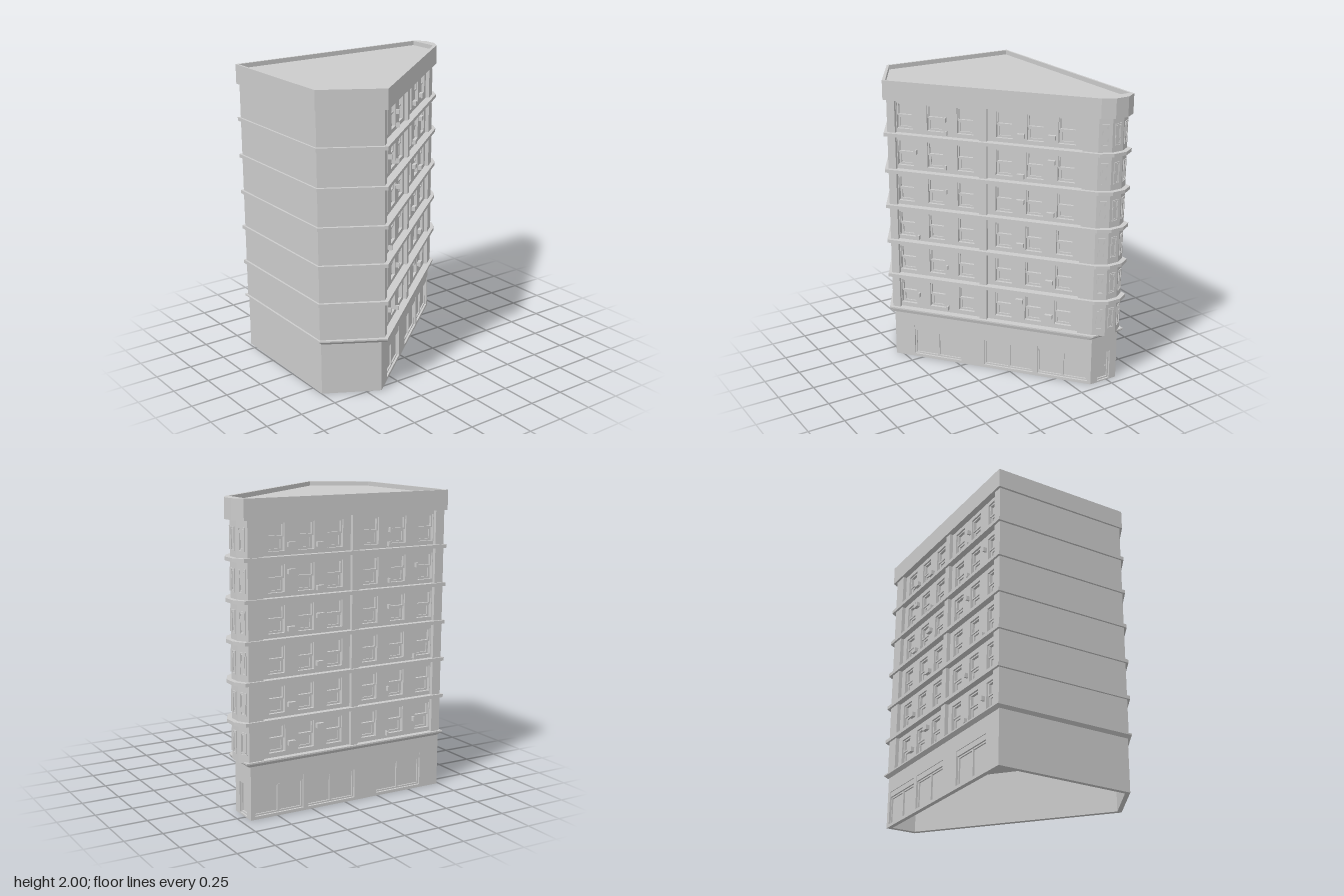
import * as THREE from 'three';

const material = new THREE.MeshStandardMaterial({ color: 0xcccccc, flatShading: true });

// Plan outlines as [x, z], going FL, FR, R, then round the nose back to FL
const LEDGE = [[-0.595, 0.755], [0.365, 0.77], [0.59, 0.395], [-0.345, -0.73], [-0.425, -0.775], [-0.52, -0.775], [-0.595, -0.73]];
const ROOF_EDGE = [[-0.58, 0.74], [0.355, 0.755], [0.565, 0.395], [-0.355, -0.705], [-0.58, -0.705]];
const BODY = [[-0.58, 0.74], [0.352, 0.757], [0.56, 0.4], [-0.354, -0.7], [-0.43, -0.742], [-0.515, -0.742], [-0.58, -0.7]];
const BASE = [[-0.575, 0.735], [0.35, 0.748], [0.54, 0.41], [-0.365, -0.69], [-0.575, -0.69]];
const MOULDING = [[-0.595, 0.755], [0.365, 0.77], [0.588, 0.397], [-0.345, -0.725], [-0.595, -0.725]];

const FLOORS = 6, STOREY = 0.2525;
const RECESS = 0.025, PANEL = 0.03;
// Distances along a long wall, measured from the nose
const BAYS = [[0.1, 0.737], [0.788, 1.375]];
const WINDOWS = [0.208, 0.416, 0.624, 0.89, 1.1, 1.313];
const SHOPS = [0.2, 0.585, 1.105];
// Wall units: [distance from nose, height, width]
const UNITS = [
  [0.51, 1.7, 0.05], [0.305, 1.71, 0.05], [0.51, 1.43, 0.05], [0.305, 1.545, 0.05], [0.51, 1.255, 0.05],
  [0.305, 1.19, 0.05], [0.51, 0.95, 0.05], [0.305, 0.71, 0.05], [0.51, 0.545, 0.05], [0.305, 0.46, 0.05],
  [1.025, 1.76, 0.012], [1.018, 1.67, 0.012], [1.235, 1.52, 0.012], [1.025, 1.435, 0.012], [1.025, 1.265, 0.012],
  [1.228, 0.915, 0.012], [1.025, 0.72, 0.012], [1.235, 0.485, 0.012], [1.025, 0.415, 0.012],
];

function add(parent, name, geometry, x = 0, y = 0, z = 0) {
  const mesh = new THREE.Mesh(geometry, material);
  mesh.name = name;
  mesh.position.set(x, y, z);
  parent.add(mesh);
  return mesh;
}

const box = (w, h, d) => new THREE.BoxGeometry(w, h, d);
const lengthOf = (a, b) => Math.hypot(b[0] - a[0], b[1] - a[1]);

// Vertical prism over a plan outline, optionally with a hole
function prism(points, y0, y1, hole) {
  const toPlan = (p) => p.map(([x, z]) => new THREE.Vector2(x, -z));
  const shape = new THREE.Shape(toPlan(points));
  if (hole) shape.holes.push(new THREE.Path(toPlan(hole)));
  const g = new THREE.ExtrudeGeometry(shape, { depth: y1 - y0, bevelEnabled: false });
  return g.rotateX(-Math.PI / 2).translate(0, y0, 0);
}

const corners = (x0, y0, x1, y1) =>
  [[x0, y0], [x1, y0], [x1, y1], [x0, y1]].map(([x, y]) => new THREE.Vector2(x, y));

// Upright slab with rectangular openings [x0, y0, x1, y1]
function panel(rect, holes, depth) {
  const shape = new THREE.Shape(corners(...rect));
  holes.forEach((h) => shape.holes.push(new THREE.Path(corners(...h))));
  return new THREE.ExtrudeGeometry(shape, { depth, bevelEnabled: false });
}

// Rectangular frame centred on its origin
function frame(w, h, t, depth) {
  return panel([-w / 2, -h / 2, w / 2, h / 2], [[-w / 2 + t, -h / 2 + t, w / 2 - t, h / 2 - t]], depth);
}

// Group whose x runs along the wall from a to b and whose z points outward
function wallGroup(parent, name, a, b) {
  const g = new THREE.Group();
  g.name = name;
  g.position.set(a[0], 0, a[1]);
  g.rotation.y = Math.atan2(a[1] - b[1], b[0] - a[0]);
  parent.add(g);
  return g;
}

// Spans along a wall; flip when the wall runs towards the nose
const span = (from, to, len, flip) => (flip ? [len - to, len - from] : [from, to]);

// Plan points of a wall with its bays cut back
function bayOutline(a, b, flip) {
  const len = lengthOf(a, b), dx = (b[0] - a[0]) / len, dz = (b[1] - a[1]) / len;
  const at = (u, d) => [a[0] + dx * u + dz * d, a[1] + dz * u - dx * d];
  const spans = BAYS.map(([p, q]) => span(p, q, len, flip)).sort((p, q) => p[0] - q[0]);
  const depth = RECESS + PANEL;
  return spans.flatMap(([p, q]) => [at(p, 0), at(p, depth), at(q, depth), at(q, 0)]);
}

const upperSash = frame(0.115, 0.087, 0.009, 0.018);
const lowerSash = frame(0.105, 0.085, 0.013, 0.01);
const noseFrame = frame(0.046, 0.145, 0.007, 0.006);
const nosePane = frame(0.028, 0.12, 0.004, 0.004);

// Recessed bays with sash windows on one long upper wall
function windowWall(parent, name, a, b, flip) {
  const g = wallGroup(parent, name, a, b);
  const len = lengthOf(a, b), back = -RECESS - PANEL;
  const along = (u) => (flip ? len - u : u);
  BAYS.forEach(([p, q]) => {
    const [x0, x1] = span(p, q, len, flip);
    const holes = [];
    WINDOWS.filter((u) => u > p && u < q).forEach((u) => {
      for (let f = 0; f < FLOORS; f++) {
        const x = along(u), y = 0.495 + f * STOREY;
        holes.push([x - 0.0575, y - 0.086, x + 0.0575, y + 0.086]);
        add(g, 'upperSash', upperSash, x, y + 0.0425, back);
        add(g, 'lowerSash', lowerSash, x, y - 0.0435, back);
      }
    });
    add(g, 'bayWall', panel([x0, 0.37, x1, 1.88], holes, PANEL), 0, 0, back);
  });
  UNITS.forEach(([u, y, w]) => add(g, 'wallUnit', box(w, 0.03, 0.026), along(u), y, -RECESS + 0.011));
}

// Ground floor wall with shop windows
function shopWall(parent, name, a, b, flip) {
  const g = wallGroup(parent, name, a, b);
  const len = lengthOf(a, b);
  const xs = SHOPS.map((u) => (flip ? len - u : u));
  const holes = xs.map((x) => [x - 0.175, 0.02, x + 0.175, 0.242]);
  add(g, 'shopWall', panel([0, 0, len, 0.355], holes, PANEL), 0, 0, -PANEL);
  xs.forEach((x) => {
    add(g, 'shopGlass', box(0.35, 0.222, 0.006), x, 0.131, -PANEL + 0.003);
    add(g, 'shopFrame', frame(0.35, 0.186, 0.01, 0.012), x, 0.113, -PANEL + 0.004);
    add(g, 'shopMullion', box(0.014, 0.18, 0.014), x, 0.113, -PANEL + 0.011);
    add(g, 'shopLintel', box(0.35, 0.034, 0.024), x, 0.224, -PANEL + 0.014);
  });
}

export function createModel() {
  const model = new THREE.Group();
  model.name = 'cornerBuilding';

  // Ground floor, open underneath
  const [bFL, bFR, bR, bN1, bN2] = BASE;
  [['baseFrontWall', bFL, bFR], ['baseCornerWall', bFR, bR]].forEach(([name, a, b]) => {
    const g = wallGroup(model, name, a, b);
    add(g, name + 'Slab', panel([0, 0, lengthOf(a, b), 0.355], [], PANEL), 0, 0, -PANEL);
  });
  shopWall(model, 'baseDiagonalWall', bR, bN1, true);
  shopWall(model, 'baseLeftWall', bN2, bFL, false);

  // Entrance in the nose
  const entrance = wallGroup(model, 'entrance', bN1, bN2);
  const w = lengthOf(bN1, bN2), mid = w / 2;
  add(entrance, 'entranceWall', panel([0, 0, w, 0.355], [[mid - 0.05, 0.01, mid + 0.05, 0.215]], PANEL), 0, 0, -PANEL);
  add(entrance, 'door', box(0.1, 0.205, 0.008), mid, 0.1125, -PANEL + 0.004);
  add(entrance, 'doorFrame', frame(0.1, 0.205, 0.01, 0.012), mid, 0.1125, -PANEL + 0.006);
  add(entrance, 'doorKnob', new THREE.SphereGeometry(0.006, 8, 6), mid + 0.028, 0.1, -PANEL + 0.012);

  // Moulding above the ground floor, flared on its lower half
  const flare = prism(MOULDING, 0.348, 0.37);
  const pos = flare.attributes.position;
  for (let i = 0; i < pos.count; i++) {
    if (pos.getY(i) < 0.355) pos.setXYZ(i, pos.getX(i) * 0.967, pos.getY(i), pos.getZ(i) * 0.967);
  }
  flare.computeVertexNormals();
  add(model, 'mouldingFlare', flare);
  add(model, 'mouldingTop', prism(MOULDING, 0.37, 0.38));

  // Upper storeys: pilasters come from the stepped plan
  const [FL, FR, R, N1, P1, P2, N2] = BODY;
  const plan = [FL, FR, R, ...bayOutline(R, N1, true), N1, P1, P2, N2, ...bayOutline(N2, FL, false)];
  add(model, 'upperBody', prism(plan, 0.37, 1.88));
  windowWall(model, 'diagonalWall', R, N1, true);
  windowWall(model, 'leftWall', N2, FL, false);

  // Narrow windows around the nose
  [[N1, P1], [P1, P2], [P2, N2]].forEach(([a, b]) => {
    const g = wallGroup(model, 'noseWindows', a, b);
    for (let f = 0; f < FLOORS; f++) {
      const x = lengthOf(a, b) / 2, y = 0.495 + f * STOREY;
      add(g, 'noseFrame', noseFrame, x, y, 0);
      add(g, 'nosePane', nosePane, x, y, 0);
    }
  });

  // Ledges between storeys
  for (let f = 0; f < FLOORS - 1; f++) {
    const y = 0.612 + f * STOREY;
    add(model, 'ledge', prism(LEDGE, y, y + 0.023));
  }

  // Roof and parapet
  add(model, 'roof', prism(LEDGE, 1.87, 1.97));
  add(model, 'parapet', prism(LEDGE, 1.97, 2, ROOF_EDGE));
  return model;
}
